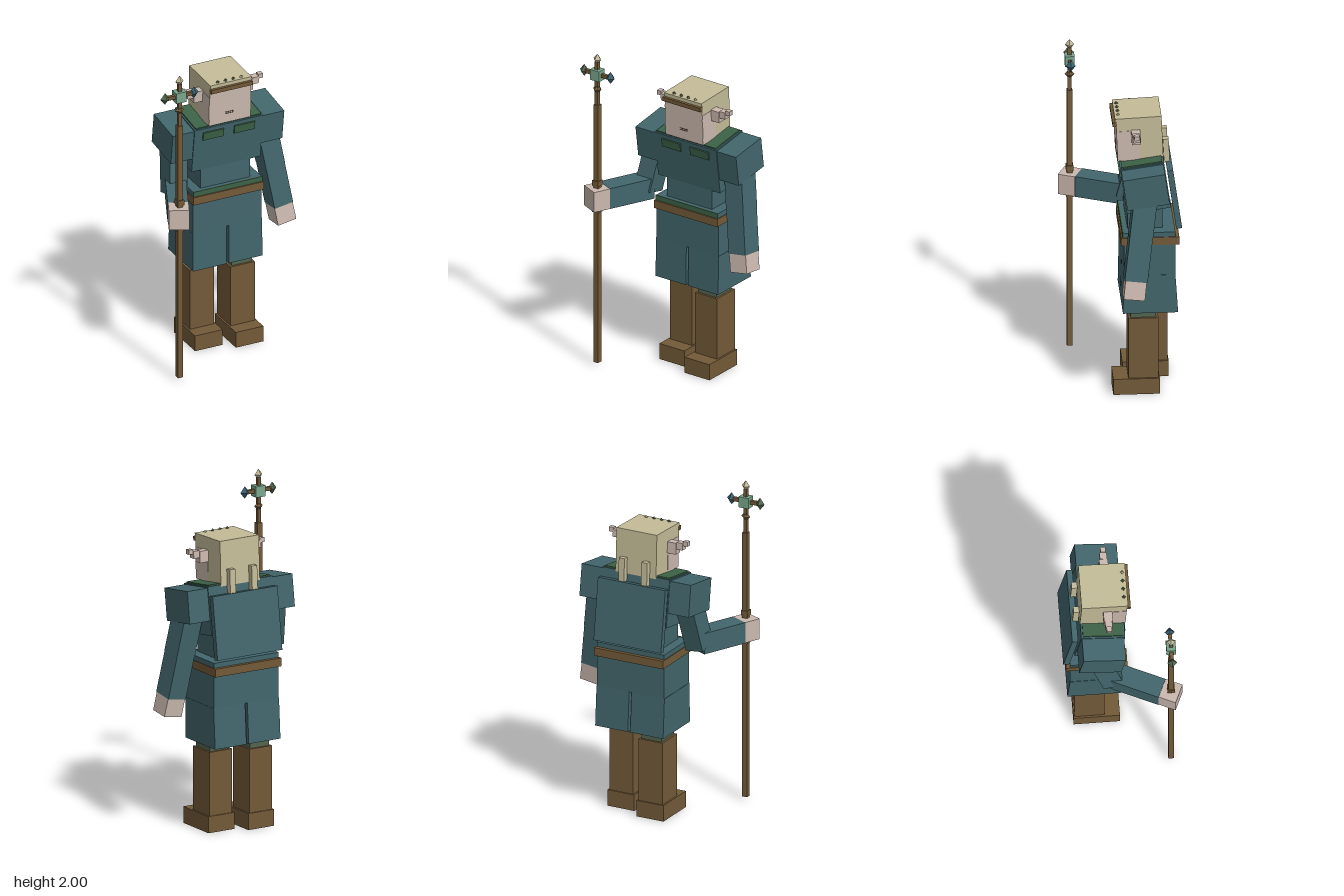
import * as THREE from 'three';

const mat = (name, color) => Object.assign(new THREE.MeshStandardMaterial({ color }), { name });

export function createModel() {
  const teal = mat('teal cloth', 0x42666c), skin = mat('skin', 0xcbb9af), hair = mat('pale hair', 0xc4bc98);
  const brown = mat('brown leather', 0x735a38), green = mat('green trim', 0x3c6247), moss = mat('moss trousers', 0x53654f);
  const jade = mat('jade', 0x7aa68d), blue = mat('blue gem', 0x3a6274), dark = mat('dark ink', 0x4a3b34);

  const root = new THREE.Group();
  const CX = 0.065; // body centre line

  function add(name, geo, material, x, y, z, parent = root) {
    const m = new THREE.Mesh(geo, material);
    m.name = name;
    m.position.set(x, y, z);
    parent.add(m);
    return m;
  }
  // Box given by its extents
  function box(name, material, [x0, x1], [y0, y1], [z0, z1], parent = root) {
    return add(name, new THREE.BoxGeometry(x1 - x0, y1 - y0, z1 - z0), material,
      (x0 + x1) / 2, (y0 + y1) / 2, (z0 + z1) / 2, parent);
  }
  // Box limb running between two points
  function limb(name, material, a, b, w, d) {
    const p = new THREE.Vector3(...a), q = new THREE.Vector3(...b);
    const dir = p.clone().sub(q), mid = p.clone().add(q).multiplyScalar(0.5);
    const m = add(name, new THREE.BoxGeometry(w, dir.length(), d), material, mid.x, mid.y, mid.z);
    m.quaternion.setFromUnitVectors(new THREE.Vector3(0, 1, 0), dir.normalize());
    return m;
  }
  function gem(name, material, x, y, z, r, h, parent = root) {
    const g = new THREE.OctahedronGeometry(1).toNonIndexed();
    g.scale(r, h, r);
    g.computeVertexNormals();
    return add(name, g, material, x, y, z, parent);
  }
  function group(name, x, y, z, rx) {
    const g = new THREE.Group();
    g.name = name;
    g.position.set(x, y, z);
    g.rotation.x = rx;
    root.add(g);
    return g;
  }

  // Legs: left one stands a little further forward
  for (const [side, x, z] of [['right', -0.053, -0.185], ['left', 0.18, -0.117]]) {
    box(side + 'Foot', brown, [x - 0.09, x + 0.09], [0, 0.1], [z - 0.095, z + 0.177]);
    box(side + 'BootShaft', brown, [x - 0.079, x + 0.079], [0.1, 0.487], [z - 0.088, z + 0.088]);
    box(side + 'Trouser', moss, [x - 0.066, x + 0.066], [0.48, 0.55], [z - 0.075, z + 0.075]);
  }

  // Skirt: closed hip part above two panels with a slit, flaring to the back
  box('skirtHip', teal, [-0.16, 0.29], [0.78, 1.055], [-0.302, 0]);
  for (const [side, x] of [['right', [-0.162, 0.058]], ['left', [0.074, 0.292]]]) {
    const panel = box(side + 'SkirtPanel', teal, x, [0.535, 0.78], [-0.302, 0]);
    const p = panel.geometry.attributes.position;
    for (let i = 0; i < p.count; i++) {
      if (p.getY(i) < 0) p.setZ(i, p.getZ(i) + (p.getZ(i) < 0 ? -0.016 : 0.005));
    }
    panel.geometry.computeVertexNormals();
  }
  box('belt', brown, [-0.165, 0.295], [0.975, 1.025], [-0.325, 0.016]);
  box('waistTrim', green, [-0.16, 0.29], [1.025, 1.057], [0, 0.008]);
  box('waist', teal, [-0.1, 0.225], [1.05, 1.25], [-0.23, -0.025]);

  // Chest and shoulders, leaning forward
  const chest = group('chest', CX, 1.345, -0.127, 0.14);
  box('chestBlock', teal, [-0.225, 0.225], [-0.15, 0.142], [-0.13, 0.13], chest);
  box('collar', green, [-0.215, 0.215], [0.142, 0.15], [-0.12, 0.12], chest);
  for (const s of [-1, 1]) {
    const side = s < 0 ? 'right' : 'left';
    add(side + 'Shoulder', new THREE.BoxGeometry(0.14, 0.195, 0.25), teal, s * 0.295, 0.037, 0, chest);
    add(side + 'CollarPatch', new THREE.BoxGeometry(0.135, 0.052, 0.009), green, s * 0.102, 0.09, 0.134, chest);
  }

  // Cape hanging away from the back
  const cape = add('cape', new THREE.BoxGeometry(0.45, 0.38, 0.035), teal, CX, 1.265, -0.298);
  cape.rotation.x = 0.14;

  // Left arm hanging down
  limb('leftUpperArm', teal, [0.35, 1.36, -0.125], [0.393, 1.08, -0.09], 0.125, 0.137);
  limb('leftForearm', teal, [0.393, 1.08, -0.09], [0.432, 0.825, -0.058], 0.122, 0.135);
  limb('leftHand', skin, [0.432, 0.825, -0.058], [0.45, 0.715, -0.046], 0.12, 0.125);

  // Right arm bent forward, holding the staff
  limb('rightUpperArm', teal, [-0.225, 1.36, -0.13], [-0.257, 1.05, -0.052], 0.115, 0.13);
  const yaw = Math.atan2(-0.41, 0.91);
  const forearm = add('rightForearm', new THREE.BoxGeometry(0.122, 0.13, 0.3), teal, -0.31, 1.076, 0.084);
  const hand = add('rightHand', new THREE.BoxGeometry(0.12, 0.128, 0.105), skin, -0.392, 1.076, 0.27);
  forearm.rotation.y = hand.rotation.y = yaw;

  // Head: material order is +x, -x, +y, -y, +z, -z
  const head = group('head', CX, 1.487, -0.104, 0.04);
  add('headBlock', new THREE.BoxGeometry(0.27, 0.272, 0.268), [hair, hair, hair, skin, skin, hair], 0, 0.136, 0, head);
  box('fringe', hair, [-0.135, 0.135], [0.25, 0.272], [0.13, 0.139], head);
  box('headband', brown, [-0.136, 0.136], [0.224, 0.25], [0.13, 0.155], head);
  for (const y of [0.06, 0.07]) box('mouthLine', dark, [-0.03, 0.025], [y - 0.002, y + 0.002], [0.133, 0.136], head);
  [-0.077, -0.026, 0.025, 0.077].forEach((x, i) =>
    gem('headbandGem', i < 3 ? moss : hair, x, 0.274, 0.118, 0.012, 0.012, head));
  for (const s of [-1, 1]) {
    const side = s < 0 ? 'right' : 'left';
    add(side + 'Cheek', new THREE.BoxGeometry(0.004, 0.19, 0.13), skin, s * 0.135, 0.095, 0.0685, head);
    // Stepped pointed ear: x centre, width, y centre, height, depth
    for (const [x, w, y, h, d] of [[0.163, 0.06, 0.16, 0.07, 0.052], [0.213, 0.04, 0.178, 0.044, 0.042], [0.248, 0.03, 0.197, 0.028, 0.03]]) {
      add(side + 'Ear', new THREE.BoxGeometry(w, h, d), skin, s * x, y, 0.022, head);
    }
    const lock = add(side + 'HairLock', new THREE.BoxGeometry(0.038, 0.15, 0.034), hair, CX + s * 0.076, 1.52, -0.258);
    lock.rotation.x = 0.05;
  }

  // Staff
  const staff = group('staff', -0.388, 0, 0.272, 0);
  const rod = (name, w, y0, y1) => box(name, brown, [-w / 2, w / 2], [y0, y1], [-w / 2, w / 2], staff);
  rod('shaft', 0.033, 0.02, 1.675);
  rod('lowerRing', 0.043, 0.985, 1.012);
  rod('upperRing', 0.043, 1.155, 1.188);
  rod('neck', 0.022, 1.675, 1.95);
  gem('neckKnot', brown, 0, 1.775, 0, 0.03, 0.03, staff);
  box('crossbar', brown, [-0.095, 0.095], [1.859, 1.881], [-0.011, 0.011], staff);
  add('staffCube', new THREE.BoxGeometry(0.066, 0.066, 0.056), jade, 0, 1.868, 0, staff);
  gem('rightGem', moss, -0.095, 1.87, 0, 0.03, 0.038, staff);
  gem('leftGem', blue, 0.095, 1.87, 0, 0.03, 0.038, staff);
  gem('topGem', hair, 0, 1.966, 0, 0.027, 0.034, staff);

  return root;
}
